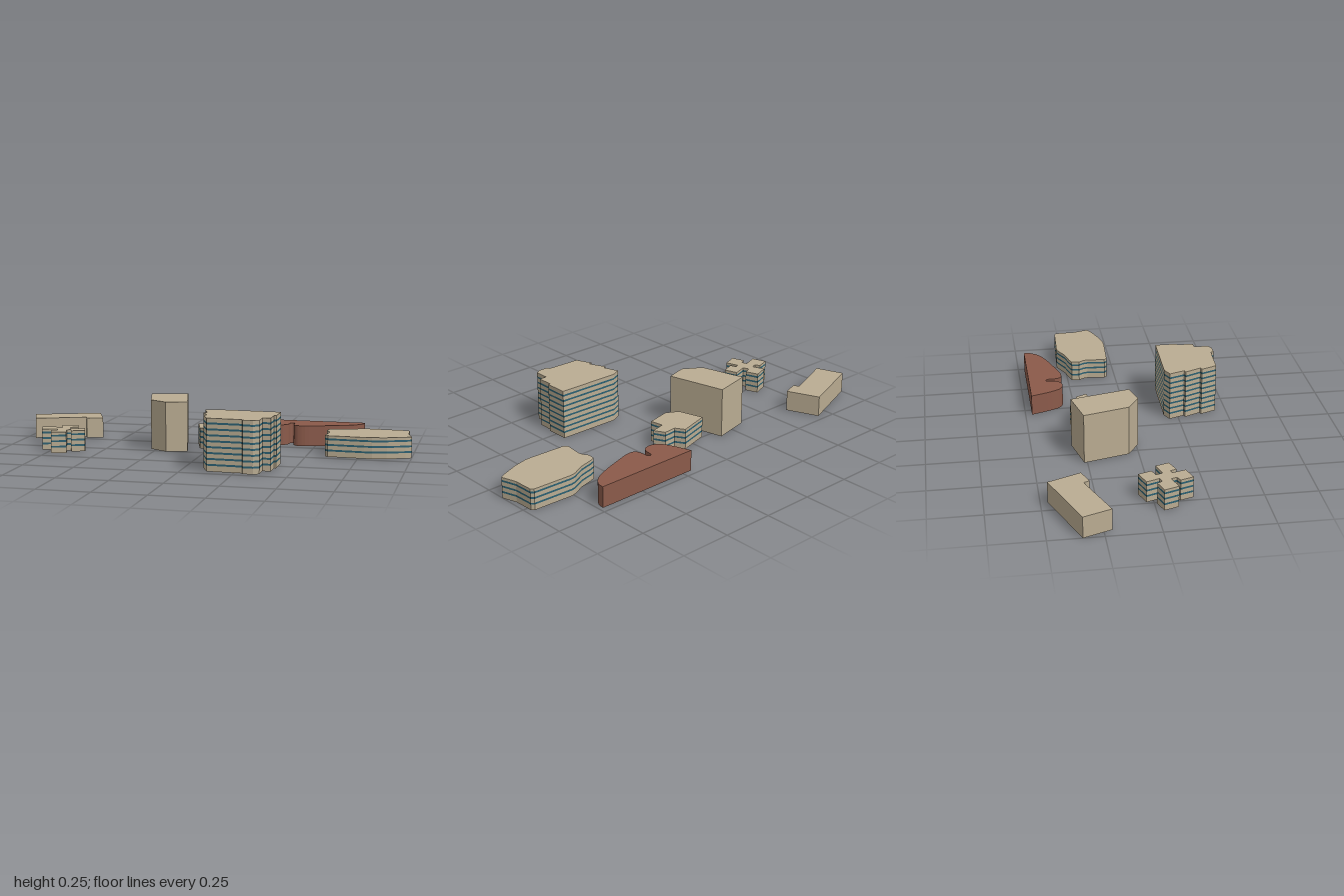
import * as THREE from 'three';
import { mergeGeometries } from 'three/addons/utils/BufferGeometryUtils.js';

const LOW = 0.103, TALL = 0.246;
const FLOOR = 0.0273, BAND = 0.009;

const paint = (color) => new THREE.MeshStandardMaterial({ color });
const stone = paint(0xbaac92);
const brick = paint(0x8b5a4a);
const glass = paint(0x2b6072);

// Footprints are [x, z] corners, clockwise seen from above
const footprints = {
  slab: [[-1, -0.345], [-0.68, -0.467], [-0.615, -0.31], [-0.695, -0.28], [-0.707, -0.308], [-0.95, -0.212]],
  plainTower: [[-0.338, -0.265], [-0.157, -0.307], [-0.087, -0.02], [-0.19, 0.01], [-0.28, -0.046]],
  notchedBlock: [[-0.087, -0.245], [0.068, -0.29], [0.095, -0.245], [0.16, -0.25], [0.187, -0.197],
    [0.115, -0.18], [0.127, -0.115], [0.01, -0.088], [-0.05, -0.12]],
  crossBlock: [[-0.74, -0.033], [-0.665, -0.06], [-0.643, 0.004], [-0.681, 0.018], [-0.67, 0.05],
    [-0.6, 0.028], [-0.579, 0.093], [-0.643, 0.117], [-0.654, 0.087], [-0.673, 0.093],
    [-0.654, 0.157], [-0.724, 0.181], [-0.745, 0.119], [-0.718, 0.106], [-0.726, 0.079],
    [-0.798, 0.103], [-0.822, 0.034], [-0.756, 0.012], [-0.745, 0.036], [-0.718, 0.028]],
  roundedBlock: [[0.58, -0.228], [0.608, -0.239], [0.672, -0.255], [0.737, -0.287], [0.76, -0.292],
    [0.961, -0.284], [0.974, -0.272], [0.977, -0.175], [1, -0.1], [0.972, -0.084], [0.886, -0.05],
    [0.817, -0.034], [0.78, -0.033], [0.603, -0.041], [0.588, -0.055], [0.597, -0.143],
    [0.592, -0.165], [0.576, -0.19]],
  steppedTower: [[0.057, 0.205], [0.105, 0.183], [0.416, 0.189], [0.416, 0.301], [0.405, 0.301],
    [0.405, 0.381], [0.367, 0.381], [0.367, 0.452], [0.341, 0.468], [0.293, 0.468], [0.287, 0.453],
    [0.121, 0.447], [0.089, 0.37], [0.105, 0.365], [0.068, 0.285], [0.084, 0.28]],
};

// Straight back edge with a lobed, curved front
function lobedOutline() {
  const front = [[0.73, -0.468], [0.727, -0.437], [0.694, -0.394], [0.635, -0.362], [0.512, -0.319],
    [0.432, -0.298], [0.4, -0.304], [0.387, -0.33], [0.384, -0.375], [0.374, -0.382], [0.364, -0.375],
    [0.357, -0.33], [0.335, -0.308], [0.303, -0.303], [0.266, -0.319], [0.239, -0.362], [0.2, -0.468]];
  const curve = new THREE.CatmullRomCurve3(front.map(([x, z]) => new THREE.Vector3(x, 0, z)));
  return curve.getPoints(64).map((p) => [p.x, p.z]);
}

// Vertical wall strip around an outline, one flat quad per edge
function wall(outline, y0, y1) {
  const pos = [];
  outline.forEach(([ax, az], i) => {
    const [bx, bz] = outline[(i + 1) % outline.length];
    pos.push(bx, y0, bz, ax, y0, az, ax, y1, az, bx, y0, bz, ax, y1, az, bx, y1, bz);
  });
  const g = new THREE.BufferGeometry();
  g.setAttribute('position', new THREE.Float32BufferAttribute(pos, 3));
  g.computeVertexNormals();
  return g;
}

// Flat roof (dir = 1) or underside (dir = -1)
function cap(outline, y, dir) {
  const shape = new THREE.Shape(outline.map(([x, z]) => new THREE.Vector2(x, -dir * z)));
  const g = new THREE.ShapeGeometry(shape).toNonIndexed();
  g.deleteAttribute('uv');
  return g.rotateX(-dir * Math.PI / 2).translate(0, y, 0);
}

function building(name, outline, height, material, banded) {
  const group = new THREE.Group();
  group.name = name;
  const solid = [cap(outline, 0, -1), cap(outline, height, 1)];
  const bands = [];
  let y = 0;
  // Alternate solid storeys with flush window bands
  for (let c = 0.031; banded && c + BAND < height; c += FLOOR) {
    solid.push(wall(outline, y, c - BAND / 2));
    bands.push(wall(outline, c - BAND / 2, c + BAND / 2));
    y = c + BAND / 2;
  }
  solid.push(wall(outline, y, height));

  const body = new THREE.Mesh(mergeGeometries(solid), material);
  body.name = name + 'Walls';
  group.add(body);
  if (banded) {
    const windows = new THREE.Mesh(mergeGeometries(bands), glass);
    windows.name = name + 'WindowBands';
    group.add(windows);
  }
  return group;
}

export function createModel() {
  const model = new THREE.Group();
  model.name = 'buildingCluster';
  model.add(
    building('slab', footprints.slab, LOW, stone, false),
    building('plainTower', footprints.plainTower, TALL, stone, false),
    building('notchedBlock', footprints.notchedBlock, LOW, stone, true),
    building('crossBlock', footprints.crossBlock, LOW, stone, true),
    building('roundedBlock', footprints.roundedBlock, LOW, stone, true),
    building('steppedTower', footprints.steppedTower, TALL, stone, true),
    building('lobedHall', lobedOutline(), LOW, brick, false),
  );
  return model;
}
